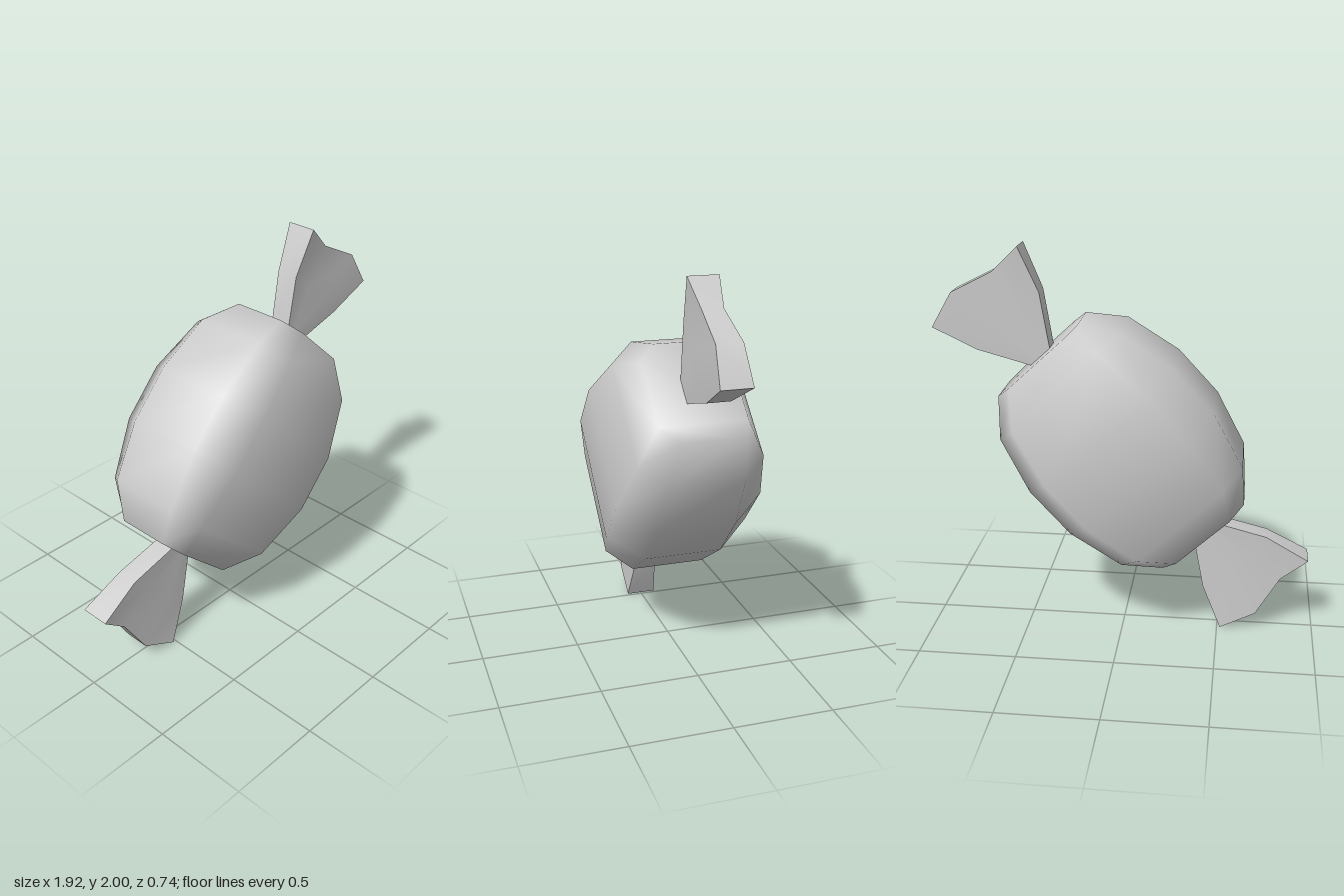
import * as THREE from 'three';
import { toCreasedNormals } from 'three/addons/utils/BufferGeometryUtils.js';

// Lofts a closed solid along +x. Each section lists its front half as [x, y, z]
// with y falling; the back half is the same points with z negated.
function loft(sections) {
  const half = sections[0].length;
  const n = half * 2;
  const positions = [];
  const index = [];
  for (const s of sections) {
    for (const [x, y, z] of s) positions.push(x, y, z);
    for (const [x, y, z] of [...s].reverse()) positions.push(x, y, -z);
  }
  const quad = (a, b, c, d) => index.push(a, b, c, a, c, d);
  // sides
  for (let i = 0; i < sections.length - 1; i++) {
    for (let j = 0; j < n; j++) {
      const k = (j + 1) % n;
      quad(i * n + j, i * n + k, (i + 1) * n + k, (i + 1) * n + j);
    }
  }
  // end caps, as strips joining front to back
  const last = (sections.length - 1) * n;
  for (let j = 0; j < half - 1; j++) {
    quad(last + j, last + j + 1, last + n - 2 - j, last + n - 1 - j);
    quad(n - 1 - j, n - 2 - j, j + 1, j);
  }
  const g = new THREE.BufferGeometry();
  g.setAttribute('position', new THREE.Float32BufferAttribute(positions, 3));
  g.setIndex(index);
  g.computeVertexNormals();
  return g;
}

// Same sections reflected to the other end of the sweet
const mirrored = (sections) =>
  [...sections].reverse().map((s) => s.map(([x, y, z]) => [-x, y, z]));

export function createModel() {
  const material = new THREE.MeshStandardMaterial({ color: 0xcccccc });
  const add = (parent, name, geometry) => {
    const mesh = new THREE.Mesh(geometry, material);
    mesh.name = name;
    parent.add(mesh);
  };

  const sweet = new THREE.Group();
  sweet.name = 'wrappedSweet';

  // Body: eight-sided barrel, [x, outer y, outer z, inner y, inner z]
  const halfBody = [
    [0.15, 0.49, 0.2, 0.34, 0.372],
    [0.45, 0.411, 0.19, 0.29, 0.313],
    [0.615, 0.276, 0.14, 0.18, 0.22],
  ].map(([x, y1, z1, y2, z2]) => [[x, y1, z1], [x, y2, z2], [x, -y2, z2], [x, -y1, z1]]);
  add(sweet, 'body', loft([...mirrored(halfBody), ...halfBody]));

  // Twisted wrapper ends: narrow root, flaring to a zigzag edge
  const tail = [
    [[0.6, 0.055, 0.055], [0.6, 0.02, 0.055], [0.6, -0.02, 0.055], [0.6, -0.06, 0.055]],
    [[0.853, 0.221, 0.058], [0.853, 0.08, 0.05], [0.853, -0.08, 0.065], [0.853, -0.217, 0.058]],
    [[1.087, 0.302, 0.077], [1.082, 0.118, 0.052], [1.147, -0.11, 0.064], [1.086, -0.302, 0.077]],
  ];
  add(sweet, 'upperWrapperEnd', toCreasedNormals(loft(tail), 0.8));
  add(sweet, 'lowerWrapperEnd', toCreasedNormals(loft(mirrored(tail)), 0.8));

  // Lean the sweet diagonally, resting on its lower wrapper end
  sweet.rotation.z = THREE.MathUtils.degToRad(47.2);
  sweet.position.y = 1;

  const model = new THREE.Group();
  model.name = 'model';
  model.add(sweet);
  return model;
}
